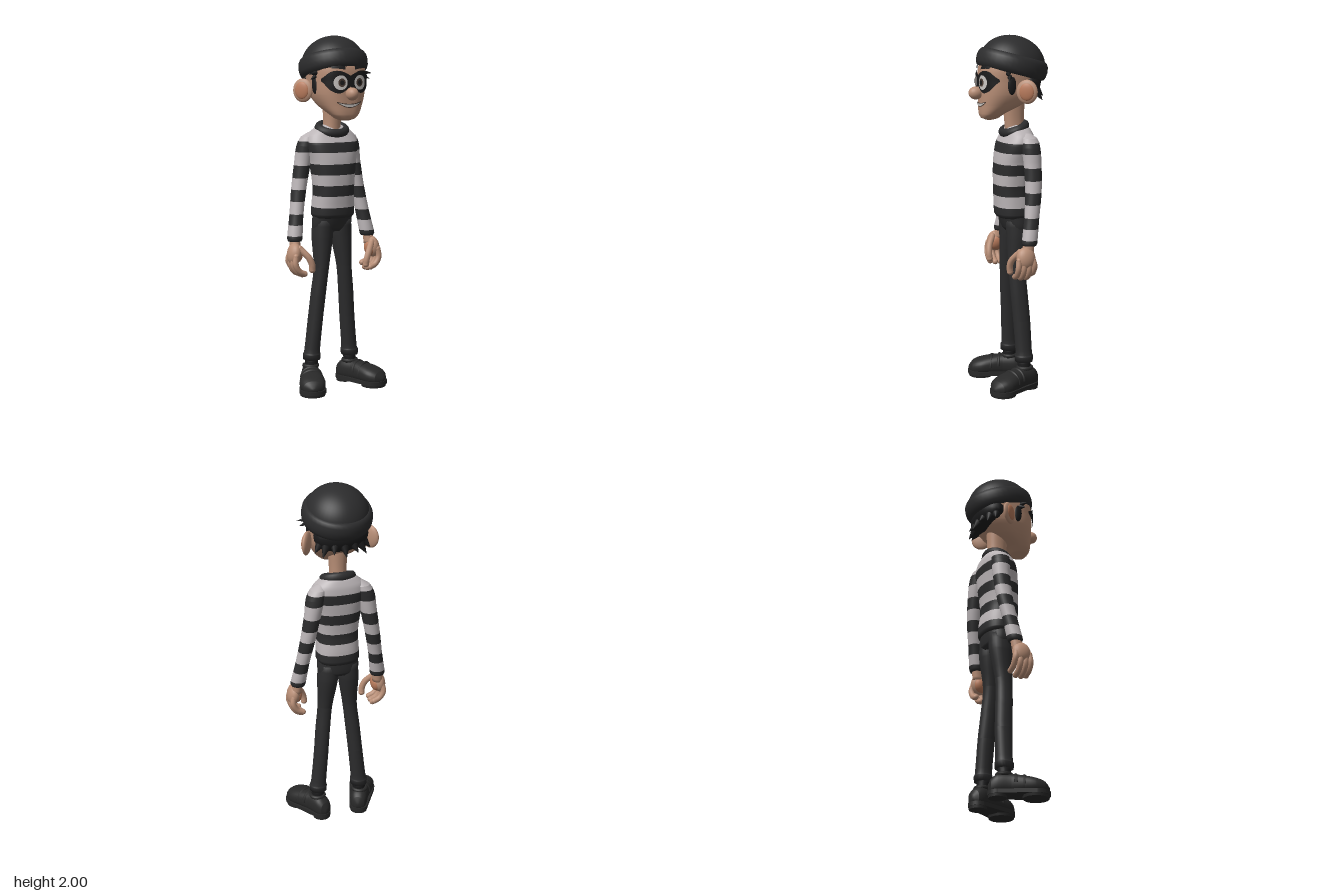
import * as THREE from 'three';
import { mergeGeometries, mergeVertices } from 'three/addons/utils/BufferGeometryUtils.js';

const mat = (name, color) => Object.assign(new THREE.MeshStandardMaterial({ color }), { name });

// Smooth lookup in a table of rows [t, a, b, ...] with t ascending
function at(keys, t) {
  let i = 0;
  while (i < keys.length - 2 && t > keys[i + 1][0]) i++;
  const A = keys[i], B = keys[i + 1], P = keys[Math.max(i - 1, 0)], N = keys[Math.min(i + 2, keys.length - 1)];
  const d = B[0] - A[0], u = Math.min(1, Math.max(0, (t - A[0]) / d)), u2 = u * u, u3 = u2 * u;
  return A.slice(1).map((_, c) => {
    const a = A[c + 1], b = B[c + 1];
    const m0 = (b - P[c + 1]) / (B[0] - P[0]) * d, m1 = (N[c + 1] - a) / (N[0] - A[0]) * d;
    return (2 * u3 - 3 * u2 + 1) * a + (u3 - 2 * u2 + u) * m0 + (3 * u2 - 2 * u3) * b + (u3 - u2) * m1;
  });
}

// Closed body through rounded sections [y, centreX, centreZ, radiusX, radiusZ]; cuts start a new stripe
function loft(keys, { n = 2.2, seg = 32, steps = 24, cuts = [] } = {}) {
  const y0 = keys[0][0], y1 = keys[keys.length - 1][0];
  const ys = [...cuts, ...keys.map(k => k[0])];
  for (let i = 1; i < steps; i++) ys.push(y0 + (y1 - y0) * i / steps);
  ys.sort((a, b) => a - b);
  const levels = ys.filter((y, i) => i === 0 || y - ys[i - 1] > 1e-5);
  const pos = [], idx = [], g = new THREE.BufferGeometry();
  const pw = v => Math.sign(v) * Math.abs(v) ** (2 / n);
  for (const y of levels) {
    const [cx, cz, rx, rz] = at(keys, y);
    for (let j = 0; j < seg; j++) {
      const a = j / seg * Math.PI * 2;
      pos.push(cx + rx * pw(Math.sin(a)), y, cz + rz * pw(Math.cos(a)));
    }
  }
  const L = levels.length, bottom = L * seg, top = bottom + 1;
  pos.push(keys[0][1], y0, keys[0][2], keys[keys.length - 1][1], y1, keys[keys.length - 1][2]);
  for (let i = 0; i < L - 1; i++) {
    const start = idx.length;
    for (let j = 0; j < seg; j++) {
      const k = (j + 1) % seg, a = i * seg + j, b = i * seg + k;
      if (i === 0) idx.push(bottom, b, a);
      idx.push(a, b, b + seg, a, b + seg, a + seg);
      if (i === L - 2) idx.push(top, a + seg, b + seg);
    }
    const mid = (levels[i] + levels[i + 1]) / 2;
    if (cuts.length) g.addGroup(start, idx.length - start, cuts.filter(c => c < mid).length % 2);
  }
  g.setAttribute('position', new THREE.Float32BufferAttribute(pos, 3));
  g.setIndex(idx);
  g.computeVertexNormals();
  return g;
}

const place = (g, p, r = [0, 0, 0], s = [1, 1, 1]) => g.applyMatrix4(new THREE.Matrix4().compose(
  new THREE.Vector3(...p), new THREE.Quaternion().setFromEuler(new THREE.Euler(...r)), new THREE.Vector3(...s)));
const ball = (p, s, r) => place(new THREE.SphereGeometry(1, 24, 16), p, r, s);

// Round-ended bent finger
function finger(points, r) {
  const v = points.map(p => new THREE.Vector3(...p));
  const tube = new THREE.TubeGeometry(new THREE.CatmullRomCurve3(v), 10, r, 10);
  return mergeGeometries([tube, ball(points[points.length - 1], [r, r, r]), ball(points[0], [r, r, r])]);
}

// Pointed lock of hair
function spike(from, to, r) {
  const a = new THREE.Vector3(...from), d = new THREE.Vector3(...to).sub(a), h = d.length();
  const q = new THREE.Quaternion().setFromUnitVectors(new THREE.Vector3(0, 1, 0), d.normalize());
  return new THREE.ConeGeometry(r, h, 10, 4).translate(0, h / 2, 0).applyQuaternion(q).translate(...from);
}

const HEAD = [
  [1.537, 0, 0.112, 0.022, 0.02], [1.546, 0, 0.11, 0.05, 0.045], [1.57, 0, 0.1, 0.08, 0.065],
  [1.62, 0, 0.05, 0.117, 0.116], [1.68, 0, 0.018, 0.143, 0.148], [1.75, 0, 0.003, 0.151, 0.163],
  [1.83, 0, -0.01, 0.153, 0.17], [1.9, 0, -0.02, 0.13, 0.14]];
const HEAD_N = 2.6;

// Thin patch that follows the face between two height curves
function facePatch(x0, x1, lo, hi, off, nx = 32, ny = 10) {
  const g = new THREE.PlaneGeometry(1, 1, nx, ny), p = g.attributes.position;
  for (let i = 0; i < p.count; i++) {
    const x = (x0 + x1) / 2 - (x1 - x0) / 2 * Math.cos(Math.PI * (p.getX(i) + 0.5));
    const y = lo(x) + (hi(x) - lo(x)) * (p.getY(i) + 0.5);
    const [, cz, rx, rz] = at(HEAD, y);
    const t = Math.min(1, Math.abs(x) / (rx + off));
    p.setXYZ(i, x, y, cz + (rz + off) * (1 - t ** HEAD_N) ** (1 / HEAD_N));
  }
  g.computeVertexNormals();
  return g;
}
function faceDisc(cx, cy, rx, ry, off) {
  const h = x => ry * Math.sqrt(Math.max(0, 1 - ((x - cx) / rx) ** 2));
  return facePatch(cx - rx, cx + rx, x => cy - h(x), x => cy + h(x), off, 20, 8);
}

export function createModel() {
  const root = new THREE.Group();
  root.name = 'maskedMan';
  const skin = mat('skin', 0xb98f77), warm = mat('warmSkin', 0xb97b5c), pale = mat('paleStripe', 0xbbb5b7);
  const cloth = mat('darkCloth', 0x2c2c2d), black = mat('black', 0x1b1b1c), leather = mat('shoeLeather', 0x292929);
  const white = mat('eyeWhite', 0xc9c5c2), brown = mat('irisBrown', 0x4a3c34);
  const add = (name, g, m) => {
    const mesh = new THREE.Mesh(g, m);
    mesh.name = name;
    root.add(mesh);
  };
  // Adds a part on the left and its mirror image on the right
  const pair = (name, g, m) => {
    add('left' + name, g, m);
    const f = (g.index ? g.clone() : mergeVertices(g)).scale(-1, 1, 1), ix = f.index.array;
    for (let i = 0; i < ix.length; i += 3) [ix[i + 1], ix[i + 2]] = [ix[i + 2], ix[i + 1]];
    add('right' + name, f, m);
  };

  // Head, neck, nose, ears
  add('head', loft(HEAD, { n: HEAD_N, seg: 48, steps: 30 }), skin);
  add('neck', loft([[1.42, 0, -0.045, 0.06, 0.06], [1.5, 0, -0.035, 0.046, 0.054], [1.66, 0, -0.03, 0.055, 0.065]]), skin);
  add('nose', ball([0, 1.686, 0.19], [0.034, 0.036, 0.041]), skin);
  pair('Ear', ball([0.178, 1.7, -0.045], [0.06, 0.066, 0.02], [0, 0.95, 0]), skin);
  pair('InnerEar', ball([0.188, 1.7, -0.039], [0.042, 0.048, 0.013], [0, 0.95, 0]), warm);

  // Mask, eyes, brows, mouth
  const MASK = [[0, 1.725, 1.785], [0.06, 1.69, 1.81], [0.11, 1.705, 1.805], [0.145, 1.755, 1.768]];
  add('mask', facePatch(-0.145, 0.145, x => at(MASK, Math.abs(x))[0], x => at(MASK, Math.abs(x))[1], 0.009, 60), black);
  pair('Eye', faceDisc(0.06, 1.747, 0.039, 0.04, 0.012), white);
  pair('Iris', faceDisc(0.055, 1.747, 0.021, 0.023, 0.014), brown);
  pair('Pupil', faceDisc(0.055, 1.747, 0.012, 0.013, 0.016), black);
  pair('Eyebrow', facePatch(0.03, 0.105, x => 1.818 + 0.12 * (x - 0.03) - 2 * (x - 0.06) ** 2,
    x => 1.84 - 5 * (x - 0.07) ** 2, 0.009, 12, 3), black);
  const smile = x => 1.613 + 5 * x * x, open = x => 0.014 * (1 - (x / 0.07) ** 2);
  add('mouthLine', facePatch(-0.076, 0.076, x => smile(x) - 0.004, x => smile(x) + open(x) + 0.004, 0.003, 24, 3), brown);
  add('teeth', facePatch(-0.068, 0.068, smile, x => smile(x) + open(x), 0.005, 24, 3), white);

  // Hair
  add('backHair', ball([0, 1.745, -0.088], [0.153, 0.093, 0.088]), black);
  for (let i = -3; i <= 3; i++) {
    const s = Math.sin(i * 0.42), c = Math.cos(i * 0.42);
    add('hairTuft', spike([s * 0.115, 1.72, -0.075 - 0.06 * c],
      [s * 0.165, 1.645 + 0.02 * (i & 1), -0.09 - 0.1 * c], 0.036), black);
  }
  pair('Sideburn', ball([0.143, 1.74, 0.03], [0.014, 0.058, 0.026]), black);
  pair('UpperSideTuft', spike([0.135, 1.8, 0.05], [0.2, 1.792, 0.065], 0.018), black);
  pair('LowerSideTuft', spike([0.135, 1.785, 0.04], [0.19, 1.762, 0.06], 0.018), black);

  // Knitted hat, tipped back
  const lathe = pts => new THREE.LatheGeometry(pts.map(p => new THREE.Vector2(...p)), 40);
  const dome = [];
  for (let i = 0; i <= 16; i++) dome.push([0.176 * Math.cos(i * Math.PI / 32), 0.158 * Math.sin(i * Math.PI / 32)]);
  dome[16][0] = 0;
  const band = [[0.14, -0.045], [0.168, -0.052], [0.182, -0.046], [0.19, -0.025], [0.192, 0], [0.188, 0.028],
    [0.178, 0.046], [0.166, 0.052], [0.15, 0.05]];
  for (const [name, pts] of [['hatDome', dome], ['hatBand', band]])
    add(name, place(lathe(pts), [0, 1.84, -0.022], [-0.26, 0, 0], [1, 1, 1.06]), cloth);

  // Striped sweater
  const stripes = [cloth, pale];
  add('sweaterBody', loft([
    [0.985, 0, -0.03, 0.112, 0.092], [1, 0, -0.028, 0.122, 0.1], [1.06, 0, -0.025, 0.12, 0.101],
    [1.15, 0, -0.018, 0.117, 0.098], [1.3, 0, -0.027, 0.135, 0.103], [1.4, 0, -0.04, 0.155, 0.096],
    [1.45, 0, -0.05, 0.14, 0.08], [1.49, 0, -0.05, 0.09, 0.062], [1.505, 0, -0.05, 0.05, 0.04]],
  { n: 2.4, seg: 40, cuts: [1.045, 1.11, 1.17, 1.23, 1.29, 1.355, 1.41] }), stripes);
  add('collar', place(new THREE.TorusGeometry(0.077, 0.025, 12, 36).rotateX(Math.PI / 2),
    [0, 1.482, -0.033], [0.36, 0, 0], [1, 1, 0.86]), cloth);
  pair('Sleeve', loft([
    [0.86, 0.236, -0.04, 0.038, 0.038], [0.872, 0.236, -0.04, 0.043, 0.043], [1, 0.215, -0.06, 0.039, 0.042],
    [1.15, 0.188, -0.08, 0.042, 0.046], [1.3, 0.16, -0.085, 0.047, 0.05], [1.39, 0.143, -0.08, 0.052, 0.053],
    [1.44, 0.125, -0.075, 0.044, 0.046], [1.465, 0.11, -0.07, 0.02, 0.02]],
  { n: 2, seg: 24, cuts: [0.89, 0.95, 1.01, 1.08, 1.145, 1.21, 1.28, 1.355, 1.415] }), stripes);

  // Hands, half curled inward
  pair('Wrist', loft([[0.81, 0.243, -0.025, 0.03, 0.036], [0.88, 0.236, -0.038, 0.028, 0.03]], { n: 2, steps: 4 }), skin);
  pair('HandBack', ball([0.255, 0.793, -0.012], [0.037, 0.062, 0.054], [0, 0, 0.15]), skin);
  pair('Palm', ball([0.238, 0.785, -0.012], [0.03, 0.045, 0.042], [0, 0, 0.15]), warm);
  for (let i = 0; i < 4; i++) {
    const z = 0.036 - i * 0.031, lift = i === 3 ? 0.02 : i === 0 ? 0.008 : 0;
    pair('Finger', finger([[0.265, 0.785, z * 0.85], [0.27, 0.73 + lift, z], [0.246, 0.69 + lift, z],
      [0.214, 0.675 + lift, z]], 0.0165), skin);
  }
  pair('Thumb', finger([[0.235, 0.825, 0.015], [0.195, 0.775, 0.048], [0.178, 0.735, 0.055], [0.175, 0.705, 0.052]], 0.018), skin);

  // Trousers
  add('trouserSeat', loft([[0.905, 0, -0.04, 0.09, 0.055], [0.925, 0, -0.04, 0.116, 0.07], [1, 0, -0.03, 0.116, 0.086]]), cloth);
  pair('TrouserLeg', loft([
    [0.165, 0.125, -0.05, 0.048, 0.05], [0.195, 0.124, -0.05, 0.05, 0.052], [0.206, 0.123, -0.05, 0.044, 0.047],
    [0.4, 0.104, -0.043, 0.041, 0.049], [0.55, 0.09, -0.033, 0.041, 0.049], [0.7, 0.074, -0.026, 0.041, 0.05],
    [0.88, 0.061, -0.038, 0.058, 0.068], [0.97, 0.057, -0.035, 0.055, 0.07]], { n: 2.1, seg: 24 }), cloth);
  pair('Ankle', loft([[0.1, 0.128, -0.05, 0.037, 0.037], [0.18, 0.125, -0.05, 0.036, 0.036]], { n: 2, seg: 20, steps: 3 }), black);

  // Shoes, built heel to toe along z and turned outward
  const shoe = (name, g) => pair(name, place(g, [0.115, 0, -0.085], [0, 0.43, 0]), leather);
  shoe('ShoeUpper', loft([
    [-0.05, 0, -0.055, 0.015, 0.02], [-0.035, 0, -0.06, 0.038, 0.045], [0, 0, -0.07, 0.05, 0.06],
    [0.07, 0, -0.071, 0.053, 0.061], [0.14, 0, -0.067, 0.066, 0.056], [0.2, 0, -0.06, 0.073, 0.05],
    [0.25, 0, -0.052, 0.055, 0.038], [0.275, 0, -0.045, 0.018, 0.014]], { n: 2.3 }).rotateX(Math.PI / 2));
  const outline = new THREE.Shape();
  outline.absarc(0, 0.204, 0.076, 0, Math.PI, false);
  outline.absarc(0, 0, 0.053, Math.PI, 2 * Math.PI, false);
  shoe('Sole', new THREE.ExtrudeGeometry(outline, { depth: 0.022, bevelEnabled: false, curveSegments: 20 })
    .rotateX(Math.PI / 2).translate(0, 0.037, 0));
  shoe('TreadFront', new THREE.CylinderGeometry(0.074, 0.07, 0.02, 28).translate(0, 0.01, 0.203));
  shoe('Heel', new THREE.CylinderGeometry(0.051, 0.049, 0.02, 24).translate(0, 0.01, 0));
  shoe('ShoeCollar', new THREE.TorusGeometry(0.038, 0.011, 8, 24).rotateX(Math.PI / 2).translate(0, 0.128, 0.035));
  for (const [z, r, y] of [[0.095, 0.055, 0.072], [0.14, 0.06, 0.062]])
    shoe('Strap', new THREE.TorusGeometry(r, 0.01, 8, 20, Math.PI).translate(0, y, z));

  return root;
}
